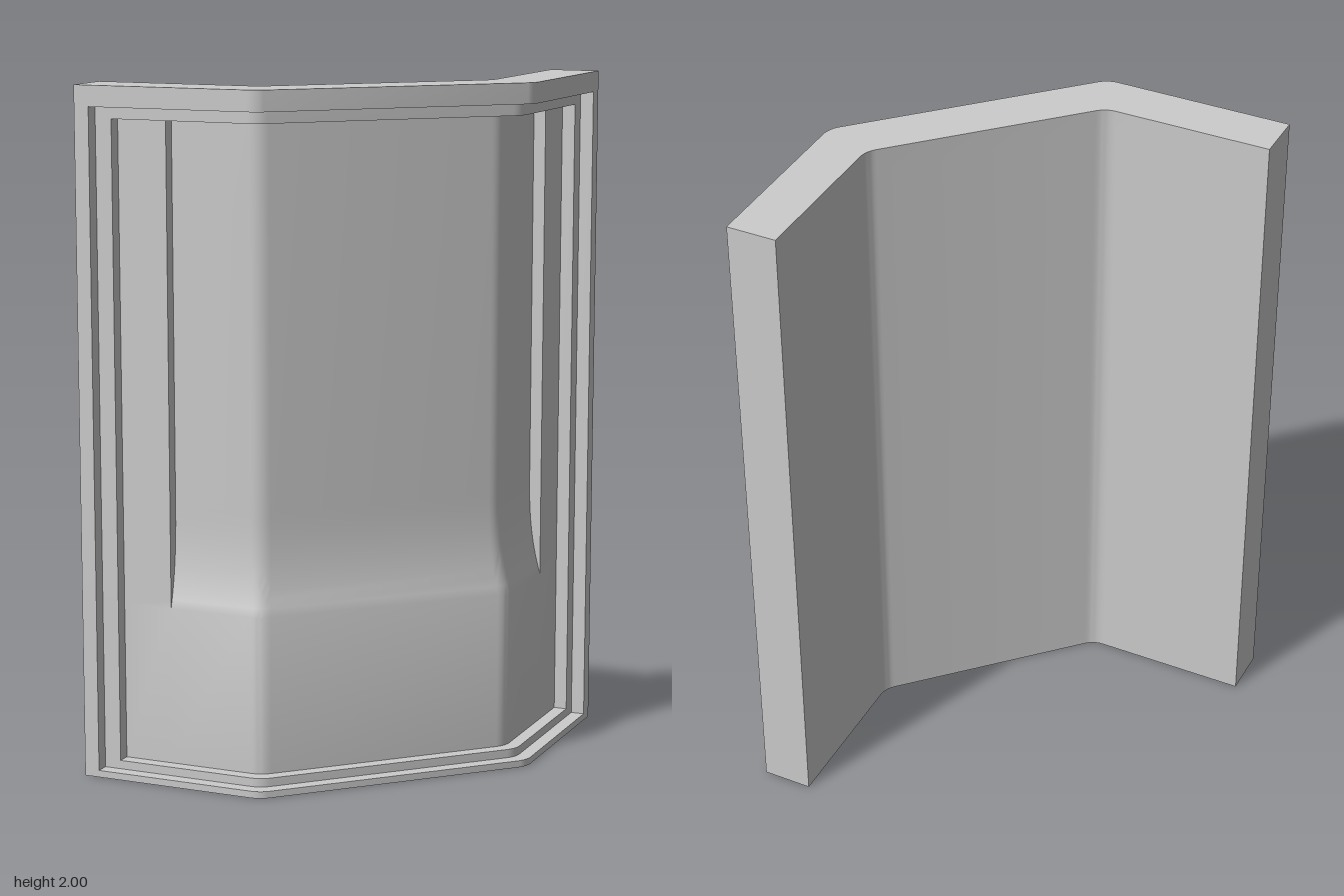
import * as THREE from 'three';
import { toCreasedNormals } from 'three/addons/utils/BufferGeometryUtils.js';

const HALF = 0.575, THICK = 0.15, RADIUS = 0.075, ARC_STEPS = 6;
const INSETS = [0.045, 0.095, 0.245]; // outer frame, inner frame, scooped panel
const D1 = 0.04, D2 = 0.079, D3 = 0.115; // depth of each recess

// Left half of the bent plan: stepped end, then the rounded 45 degree corner.
function halfPlan(depths) {
  const pts = [];
  const add = (inset, d) => pts.push([-HALF + inset, HALF - d]);
  add(0, depths[0]);
  INSETS.forEach((inset, i) => {
    add(inset, depths[i]);
    add(inset, depths[i + 1]);
  });
  const d = depths[3];
  const k = Math.tan(Math.PI / 8);
  const startX = -0.015 - k * d - RADIUS * k;
  for (let i = 0; i <= ARC_STEPS; i++) {
    const a = (Math.PI / 4) * (i / ARC_STEPS);
    pts.push([startX + RADIUS * Math.sin(a), HALF - d - RADIUS * (1 - Math.cos(a))]);
  }
  return pts;
}

// The plan is symmetric about the diagonal x = z.
function plan(depths) {
  const half = halfPlan(depths);
  return [...half, ...half.map(([x, z]) => [z, x]).reverse()];
}

// Heights from bottom to top, with the depth of every front layer.
function levels() {
  const rows = [
    [0, 0, 0, 0], [0.02, 0, 0, 0],
    [0.02, D1, D1, D1], [0.045, D1, D1, D1],
    [0.045, D1, D2, D2],
  ];
  // curved scoop at the foot of the panel
  for (let i = 0; i <= 12; i++) {
    const t = i / 12;
    rows.push([0.505 + 0.295 * t, D1, D2, D3 - (D3 - D2) * Math.pow(1 - t, 2.5)]);
  }
  rows.push(
    [1.905, D1, D2, D3], [1.905, D1, D1, D1],
    [1.94, D1, D1, D1], [1.94, 0, 0, 0], [2, 0, 0, 0],
  );
  return rows;
}

function wallGeometry() {
  const pos = [];
  const tri = (a, b, c) => {
    const ab = new THREE.Vector3().subVectors(b, a);
    const ac = new THREE.Vector3().subVectors(c, a);
    if (ab.cross(ac).length() < 1e-9) return; // skip collapsed steps
    for (const p of [a, b, c]) pos.push(p.x, p.y, p.z);
  };
  const quad = (a, b, c, d) => { tri(a, b, c); tri(a, c, d); };

  const back = plan([THICK, THICK, THICK, THICK]).reverse();
  const rings = levels().map(([y, ...d]) =>
    [...plan([0, ...d]), ...back].map(([x, z]) => new THREE.Vector3(x, y, z)));

  // Skin between neighbouring levels: faces, reveals and ledges
  const n = rings[0].length;
  for (let j = 0; j < rings.length - 1; j++) {
    const lo = rings[j], hi = rings[j + 1];
    for (let i = 0; i < n; i++) {
      const k = (i + 1) % n;
      quad(lo[i], lo[k], hi[k], hi[i]);
    }
  }

  // Bottom and top caps
  const bottom = rings[0], top = rings[rings.length - 1];
  for (let i = 0; i < n / 2 - 1; i++) {
    const a = n - 1 - i, b = a - 1;
    quad(top[i], top[i + 1], top[b], top[a]);
    quad(bottom[i + 1], bottom[i], bottom[a], bottom[b]);
  }

  const geo = new THREE.BufferGeometry();
  geo.setAttribute('position', new THREE.Float32BufferAttribute(pos, 3));
  return toCreasedNormals(geo, Math.PI / 9);
}

export function createModel() {
  const group = new THREE.Group();
  group.name = 'bentWallPanel';
  const wall = new THREE.Mesh(
    wallGeometry(), new THREE.MeshStandardMaterial({ color: 0xcccccc }));
  wall.name = 'framedWall';
  group.add(wall);
  return group;
}
